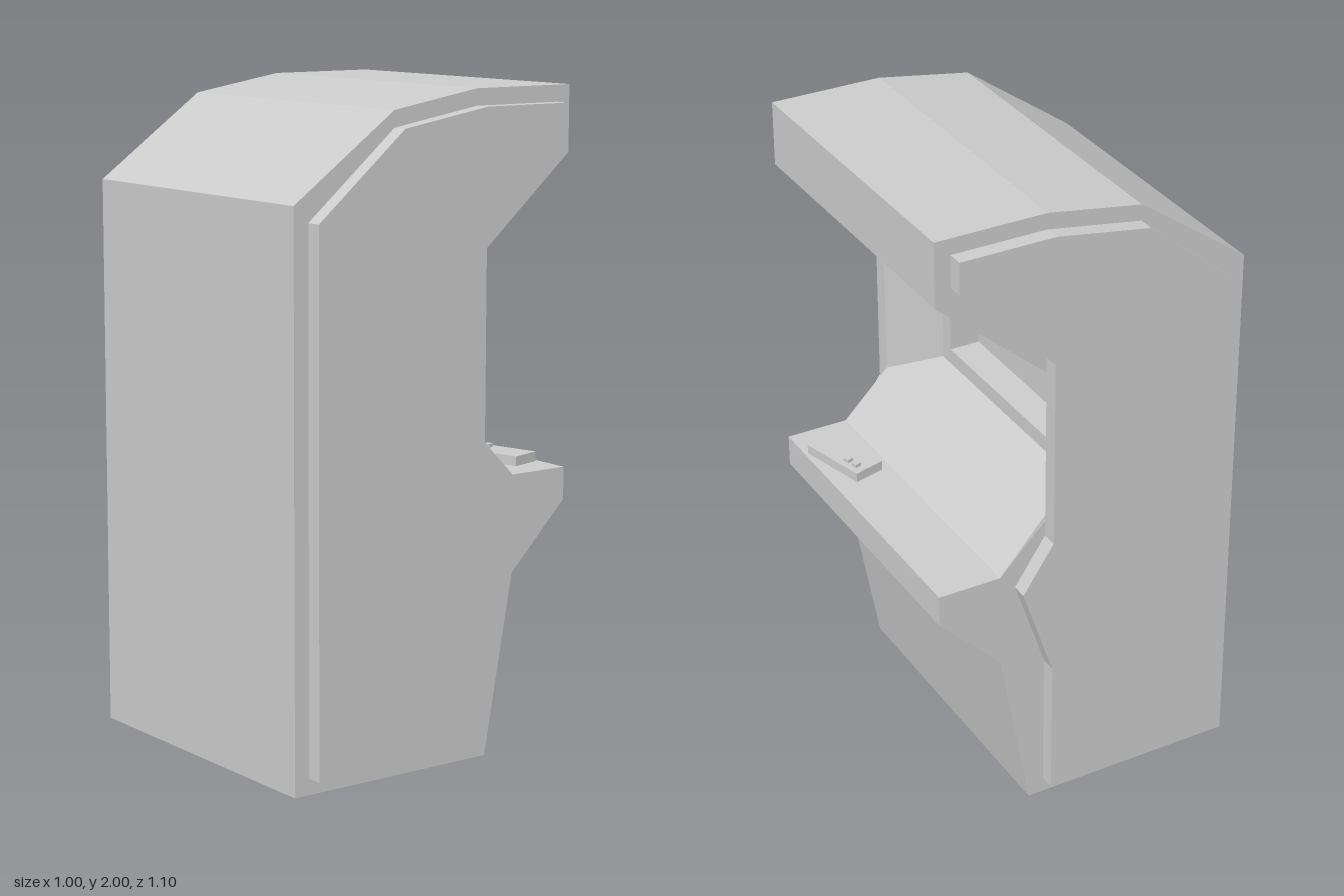
import * as THREE from 'three';

const material = new THREE.MeshStandardMaterial({ color: 0xcccccc, flatShading: true });
const thin = new THREE.MeshStandardMaterial({ color: 0xcccccc, flatShading: true, side: THREE.DoubleSide });

function add(parent, name, geometry, mat = material) {
  const mesh = new THREE.Mesh(geometry, mat);
  mesh.name = name;
  parent.add(mesh);
  return mesh;
}

// Convex polygons of [x, y, z] corners, counter-clockwise, turned into flat faces
function facesGeometry(polygons) {
  const positions = [];
  for (const p of polygons) {
    for (let i = 1; i < p.length - 1; i++) positions.push(...p[0], ...p[i], ...p[i + 1]);
  }
  const geometry = new THREE.BufferGeometry();
  geometry.setAttribute('position', new THREE.Float32BufferAttribute(positions, 3));
  geometry.computeVertexNormals();
  return geometry;
}

const points2 = (list) => list.map(([x, y]) => new THREE.Vector2(x, y));

// Upright rectangle facing +x
const rectangle = (x, halfWidth, y0, y1) => [
  [x, y0, halfWidth], [x, y0, -halfWidth], [x, y1, -halfWidth], [x, y1, halfWidth],
];

const OPENING = [[0.3, 0.85], [0.15, 1], [0.15, 1.5], [0.5, 1.8]];
const PROFILE = [
  [0.5, 1.8], [0.5, 2], [0.15, 2], [-0.15, 1.95], [-0.5, 1.7], [-0.5, 0],
  [0.2, 0], [0.3, 0.55], [0.5, 0.75], [0.5, 0.85], [0.3, 0.85],
];
const PANEL = [
  [-0.45, 0.05], [0.15, 0.05], [0.15, 0.5], [0.25, 0.8], [0.15, 0.95], [0.15, 1.55],
  [0.45, 1.85], [0.45, 1.95], [0.15, 1.95], [-0.15, 1.9], [-0.45, 1.65],
];

export function createModel() {
  const cabinet = new THREE.Group();
  cabinet.name = 'arcadeCabinet';

  // Outer shell: strip along the profile, left open at the screen
  const shell = [];
  for (let i = 0; i < PROFILE.length - 1; i++) {
    const a = PROFILE[i], b = PROFILE[i + 1];
    shell.push([[...a, 0.5], [...a, -0.5], [...b, -0.5], [...b, 0.5]]);
  }
  // Flat sides of the shell
  const outline = [...PROFILE, ...OPENING.slice(1, 3)];
  for (const face of THREE.ShapeUtils.triangulateShape(points2(outline), [])) {
    const side = (z) => face.map((i) => [...outline[i], z]);
    shell.push(side(0.5), side(-0.5).reverse());
  }
  add(cabinet, 'shell', facesGeometry(shell));

  // Recess: sloping floor, ceiling and flared walls
  add(cabinet, 'consoleSlope', facesGeometry([
    [[0.3, 0.85, 0.5], [0.3, 0.85, -0.5], [0, 1.05, -0.4], [0, 1.05, 0.4]],
  ]));
  add(cabinet, 'canopyUnderside', facesGeometry([
    [[0, 1.7, 0.4], [0, 1.7, -0.4], [0.5, 1.8, -0.5], [0.5, 1.8, 0.5]],
  ]));
  for (const s of [-1, 1]) {
    const p = [...OPENING.map((q) => [...q, s * 0.5]), [0, 1.7, s * 0.4], [0, 1.05, s * 0.4]];
    const walls = [[0, 1, 5], [1, 2, 4, 5], [2, 3, 4]].map((f) => f.map((i) => p[i]));
    if (s > 0) walls.forEach((w) => w.reverse());
    add(cabinet, 'recessWall', facesGeometry(walls), thin);
  }

  // Bezel frame, sunken rim and screen
  const rings = [
    rectangle(0, 0.4, 1.05, 1.7), rectangle(0, 0.35, 1.1, 1.6), rectangle(-0.1, 0.35, 1.1, 1.6),
  ];
  const bezel = [];
  for (let r = 0; r < 2; r++) {
    for (let i = 0; i < 4; i++) {
      const j = (i + 1) % 4;
      bezel.push([rings[r][i], rings[r][j], rings[r + 1][j], rings[r + 1][i]]);
    }
  }
  add(cabinet, 'bezel', facesGeometry(bezel));
  add(cabinet, 'screen', facesGeometry([rings[2]]));

  // Raised side panels
  for (const z of [0.5, -0.55]) {
    const panel = new THREE.ExtrudeGeometry(new THREE.Shape(points2(PANEL)), { depth: 0.05, bevelEnabled: false });
    add(cabinet, 'sidePanel', panel).position.z = z;
  }

  // Small turned control box with two buttons
  const controls = new THREE.Group();
  controls.name = 'controlBox';
  controls.position.set(0.41, 0.85, 0.285);
  controls.rotation.y = 0.255;
  add(controls, 'controlPlate', new THREE.BoxGeometry(0.103, 0.03, 0.23)).position.y = 0.015;
  for (const z of [-0.041, -0.079]) {
    add(controls, 'button', new THREE.BoxGeometry(0.021, 0.012, 0.021)).position.set(0.021, 0.035, z);
  }
  cabinet.add(controls);

  return cabinet;
}
